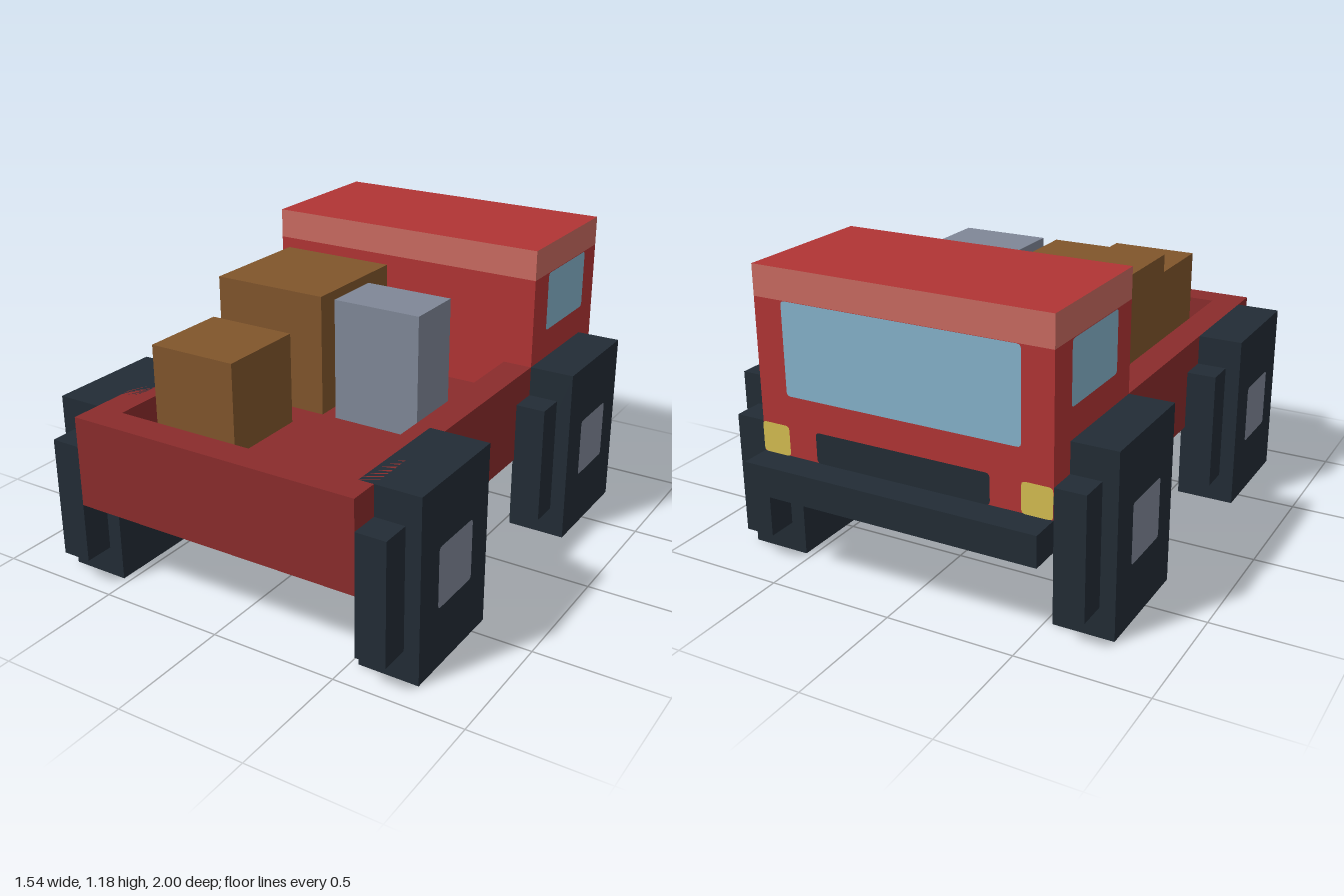
import * as THREE from 'three';

const U = 1 / 17; // building block of the model

function material(name, color) {
  const m = new THREE.MeshStandardMaterial({ color });
  m.name = name;
  return m;
}

export function createModel() {
  const red = material('cab red', 0xb03434);
  const darkRed = material('bed dark red', 0x8a2c2c);
  const pink = material('roof band pink', 0xc96a60);
  const rubber = material('dark rubber', 0x222c35);
  const grey = material('grey metal', 0x7f8797);
  const brown = material('crate brown', 0x80552b);
  const glass = material('window blue', 0x84b2ca);
  const yellow = material('lamp yellow', 0xd4bc50);

  const model = new THREE.Group();
  model.name = 'pickupTruck';

  // Box between two corners, measured in blocks
  function box(name, mat, [x0, x1], [y0, y1], [z0, z1], parent = model) {
    const mesh = new THREE.Mesh(
      new THREE.BoxGeometry((x1 - x0) * U, (y1 - y0) * U, (z1 - z0) * U), mat);
    mesh.position.set((x0 + x1) / 2 * U, (y0 + y1) / 2 * U, (z0 + z1) / 2 * U);
    mesh.name = name;
    parent.add(mesh);
    return mesh;
  }

  // Thin painted face with softly rounded corners, facing +z before turning
  function panel(name, mat, w, h, x, y, z, turn, parent = model) {
    const a = w * U / 2, b = h * U / 2, r = 0.016;
    const s = new THREE.Shape();
    s.moveTo(-a + r, -b);
    s.lineTo(a - r, -b).quadraticCurveTo(a, -b, a, -b + r);
    s.lineTo(a, b - r).quadraticCurveTo(a, b, a - r, b);
    s.lineTo(-a + r, b).quadraticCurveTo(-a, b, -a, b - r);
    s.lineTo(-a, -b + r).quadraticCurveTo(-a, -b, -a + r, -b);
    const mesh = new THREE.Mesh(new THREE.ShapeGeometry(s, 3), mat);
    mesh.position.set(x * U, y * U, z * U);
    mesh.rotation.y = turn;
    mesh.translateZ(0.003);
    mesh.name = name;
    parent.add(mesh);
  }

  // Load bed: floor slab, two side rails and the end wall
  box('bedFloor', darkRed, [-10, 10], [6, 10], [-5, 17]);
  box('bedEndWall', darkRed, [-10, 10], [10, 12], [15, 17]);
  for (const s of [-1, 1]) {
    box('bedRail', darkRed, s < 0 ? [-10, -8] : [8, 10], [10, 12], [-5, 15]);
  }

  // Cab with a pale band round a red roof
  box('cab', red, [-10, 10], [6, 18], [-15, -5]);
  box('roof', [pink, pink, red, red, pink, pink], [-10, 10], [18, 20], [-15, -5]);
  for (const s of [-1, 1]) {
    panel('sideWindow', glass, 6, 4, s * 10, 16, -10, s * Math.PI / 2);
    panel('lamp', yellow, 2, 2, s * 9, 9, -15, Math.PI);
  }
  panel('windscreen', glass, 16, 6, 0, 15, -15, Math.PI);
  panel('grille', rubber, 12, 2, 0, 9, -15, Math.PI);
  box('bumper', rubber, [-10, 10], [6, 8], [-17, -15]);

  // Cargo
  box('largeCrate', brown, [-8, 0], [10, 18], [-3, 5]);
  box('smallCrate', brown, [-7, -1], [10, 16], [7, 13]);
  box('metalCase', grey, [1, 7], [10, 18], [1, 5]);

  // Blocky wheels: a tall core, a wider inner block and square hubs
  for (const s of [-1, 1]) {
    for (const z of [-9, 11]) {
      const wheel = new THREE.Group();
      wheel.name = z < 0 ? 'cabWheel' : 'bedWheel';
      wheel.position.set(s * 11 * U, 6 * U, z * U);
      box('tyreCore', rubber, [-2, 2], [-6, 6], [-4, 4], wheel);
      box('tyreTread', rubber, [-1, 1], [-4, 4], [-6, 6], wheel);
      for (const side of [-1, 1]) {
        panel('hub', grey, 4, 4, side * 2, 0, 0, side * Math.PI / 2, wheel);
      }
      model.add(wheel);
    }
  }
  return model;
}
